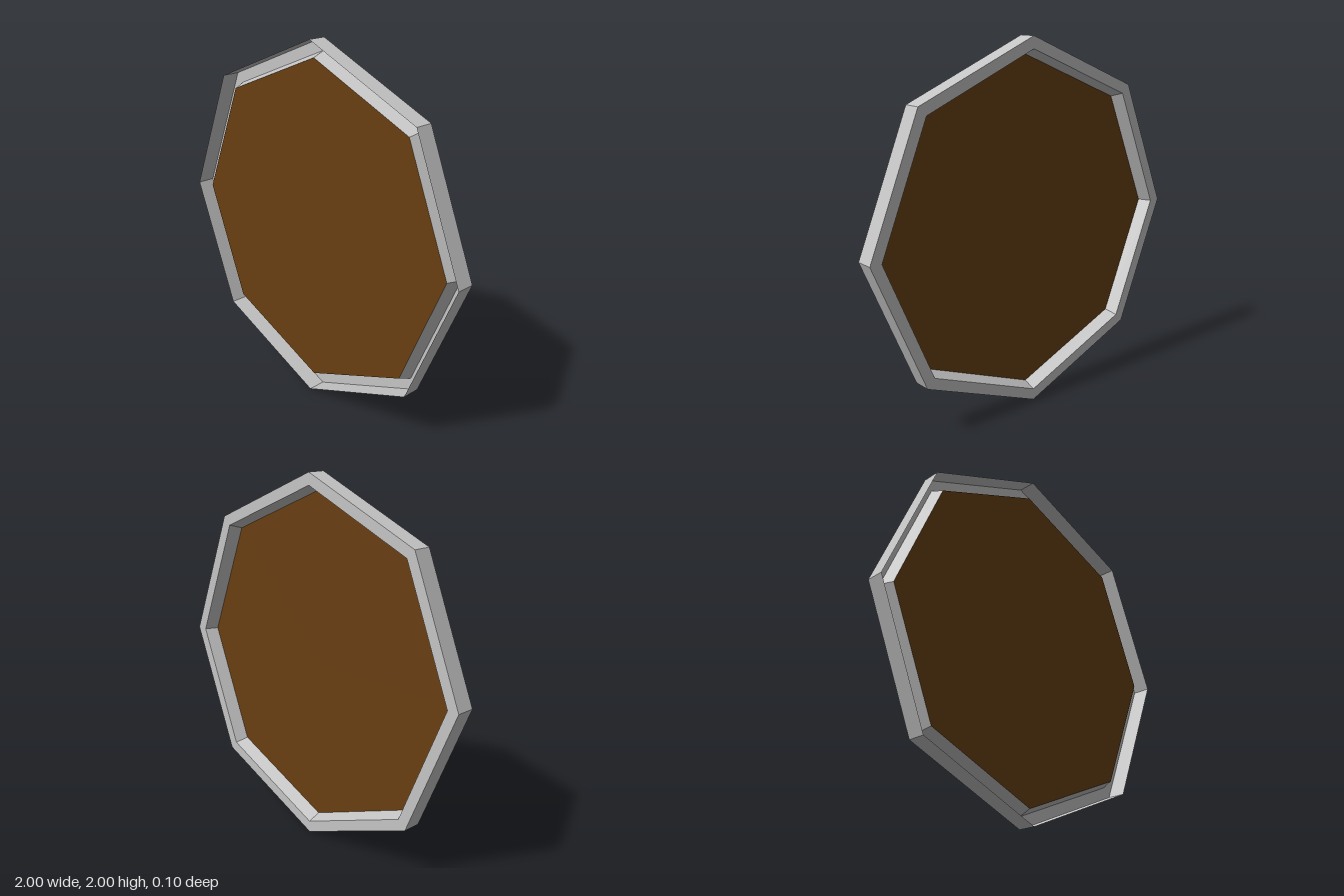
import * as THREE from 'three';

export function createModel() {
  const model = new THREE.Group();
  const SIDES = 8;
  const INNER = 0.907;   // radius where the rim meets the panel
  const PANEL_Z = 0.02;

  const greyMetal = new THREE.MeshStandardMaterial({ color: 0xc4c4c4, side: THREE.DoubleSide, flatShading: true });
  greyMetal.name = 'greyMetal';
  const brownWood = new THREE.MeshStandardMaterial({ color: 0x683f12, side: THREE.DoubleSide, flatShading: true });
  brownWood.name = 'brownWood';

  // Rim: a shell open at the front, with a tapered inner wall, back lip and outer wall
  const profile = [
    [INNER, PANEL_Z],
    [0.935, -0.05],
    [1, -0.05],
    [1, 0.05],
  ].map(([r, h]) => new THREE.Vector2(r, h));
  const rimGeometry = new THREE.LatheGeometry(profile, SIDES).toNonIndexed();
  rimGeometry.rotateX(Math.PI / 2);
  rimGeometry.computeVertexNormals();
  const rim = new THREE.Mesh(rimGeometry, greyMetal);
  rim.name = 'rim';

  // Panel: one thin octagonal sheet, seen from both sides
  const panel = new THREE.Mesh(new THREE.CircleGeometry(INNER, SIDES), brownWood);
  panel.name = 'panel';
  panel.position.z = PANEL_Z;

  for (const part of [rim, panel]) {
    part.position.y = 1;
    model.add(part);
  }
  return model;
}
